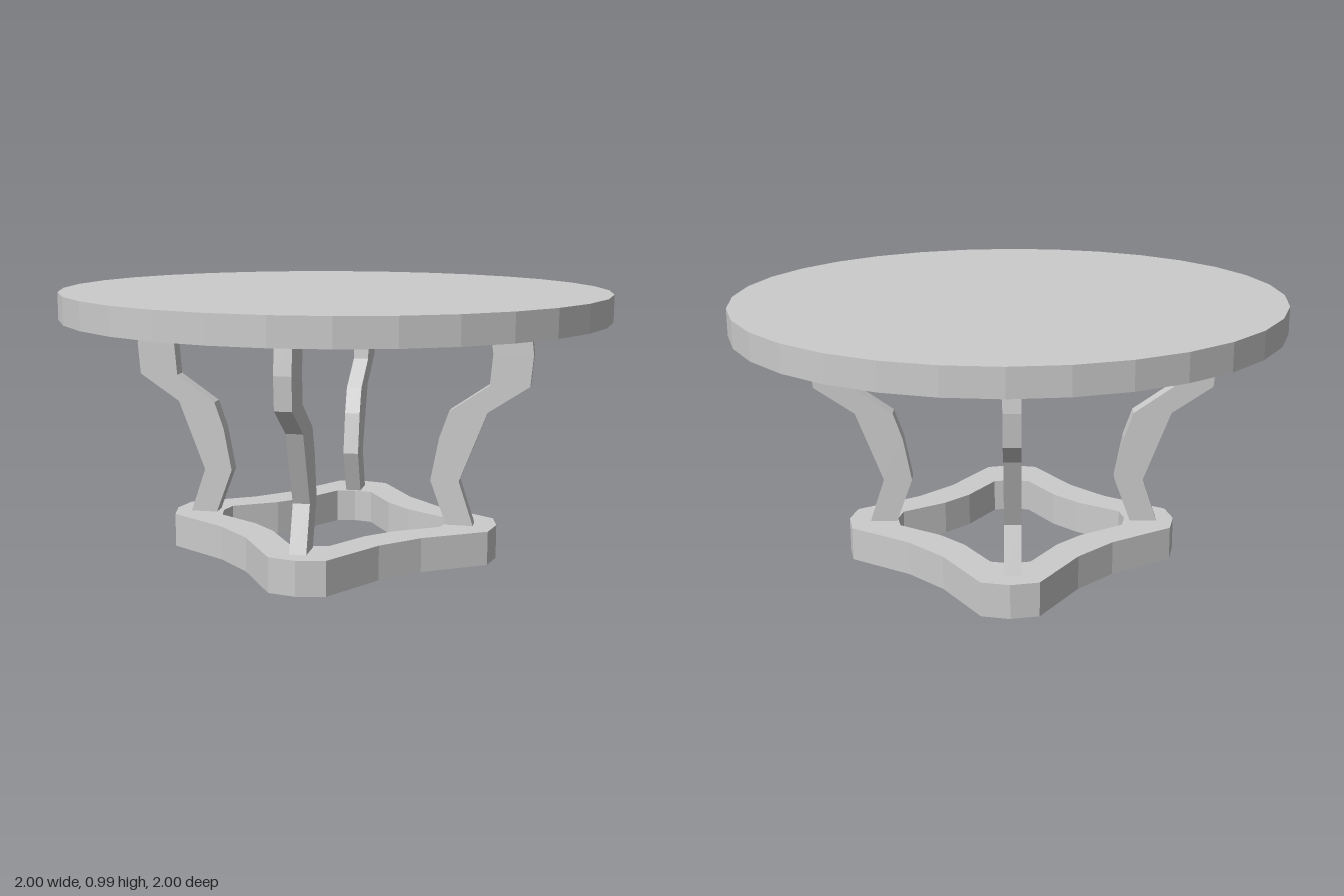
import * as THREE from 'three';

const solid = new THREE.MeshStandardMaterial({ color: 0xcccccc, flatShading: true });
const thin = new THREE.MeshStandardMaterial({ color: 0xcccccc, flatShading: true, side: THREE.DoubleSide });

const BASE_HEIGHT = 0.125;

// Four-lobed outline: one quarter turned around the centre
function lobedOutline(scale) {
  const quarter = [[0.615, 0], [0.593, 0.1], [0.37, 0.24], [0.24, 0.37], [0.1, 0.593]];
  const points = [];
  for (let i = 0; i < 4; i++) {
    for (const [x, y] of quarter) {
      points.push(new THREE.Vector2(x, y).multiplyScalar(scale)
        .rotateAround(new THREE.Vector2(), i * Math.PI / 2));
    }
  }
  return points;
}

// Upright wall along a closed outline
function wallGeometry(points) {
  const positions = [];
  points.forEach((a, i) => {
    const b = points[(i + 1) % points.length];
    const quad = [[a, 0], [b, 0], [b, BASE_HEIGHT], [a, 0], [b, BASE_HEIGHT], [a, BASE_HEIGHT]];
    for (const [p, y] of quad) positions.push(p.x, y, -p.y);
  });
  const geometry = new THREE.BufferGeometry();
  geometry.setAttribute('position', new THREE.Float32BufferAttribute(positions, 3));
  geometry.computeVertexNormals();
  return geometry;
}

function add(parent, name, geometry, material) {
  const mesh = new THREE.Mesh(geometry, material);
  mesh.name = name;
  parent.add(mesh);
  return mesh;
}

// Base ring: top plate and two walls, open underneath
function createBase() {
  const base = new THREE.Group();
  base.name = 'base';
  const outer = lobedOutline(1);
  const inner = lobedOutline(0.7);
  const shape = new THREE.Shape(outer);
  shape.holes.push(new THREE.Path(inner));
  const plate = new THREE.ShapeGeometry(shape).rotateX(-Math.PI / 2);
  add(base, 'baseTop', plate, thin).position.y = BASE_HEIGHT;
  add(base, 'baseOuterWall', wallGeometry(outer), thin);
  add(base, 'baseInnerWall', wallGeometry([...inner].reverse()), thin);
  base.position.set(-0.008, 0, -0.006);
  return base;
}

// Curved leg cut from a flat board, pointing along +x
function legGeometry() {
  const profile = [
    [0.54, 0.125], [0.485, 0.29], [0.585, 0.55], [0.735, 0.65], [0.745, 0.765], [0.73, 0.89],
    [0.583, 0.89], [0.6, 0.765], [0.59, 0.65], [0.445, 0.55], [0.41, 0.45], [0.38, 0.29], [0.44, 0.125],
  ];
  const shape = new THREE.Shape(profile.map(([x, y]) => new THREE.Vector2(x, y)));
  return new THREE.ExtrudeGeometry(shape, { depth: 0.06, bevelEnabled: false }).translate(0, 0, -0.03);
}

export function createModel() {
  const table = new THREE.Group();
  table.name = 'table';

  add(table, 'tableTop', new THREE.CylinderGeometry(1, 1, 0.098, 32), solid).position.y = 0.935;
  table.add(createBase());

  // Four legs, one over each lobe
  const legs = new THREE.Group();
  legs.name = 'legs';
  const geometry = legGeometry();
  ['leftLeg', 'backLeg', 'rightLeg', 'frontLeg'].forEach((name, i) => {
    add(legs, name, geometry, solid).rotation.y = i * Math.PI / 2;
  });
  legs.position.set(-0.017, 0, -0.003);
  table.add(legs);

  // Very slight lean towards the front left
  table.rotation.set(0.005, 0, -0.005);
  table.position.set(-0.003, 0.004, -0.003);
  const model = new THREE.Group();
  model.name = 'roundTable';
  model.add(table);
  return model;
}
